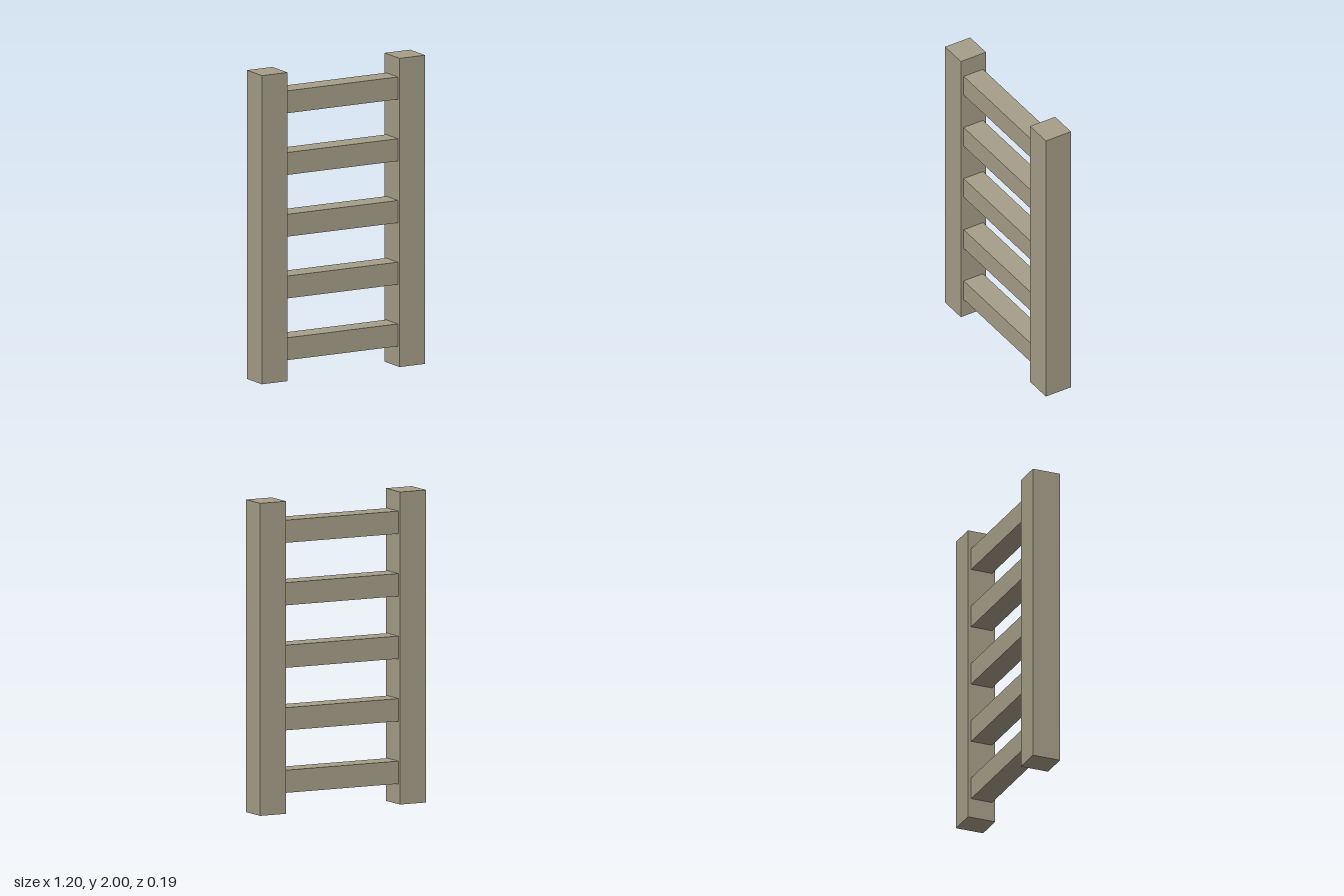
import * as THREE from 'three';

export function createModel() {
  const group = new THREE.Group();
  group.name = 'ladder';
  const wood = new THREE.MeshStandardMaterial({ color: 0xa69e88 });
  wood.name = 'weathered wood';

  function beam(name, w, h, d, x, y) {
    const mesh = new THREE.Mesh(new THREE.BoxGeometry(w, h, d), wood);
    mesh.name = name;
    mesh.position.set(x, y, 0);
    group.add(mesh);
  }

  // Upright side rails
  beam('leftRail', 0.188, 2, 0.188, 0.505, 1);
  beam('rightRail', 0.188, 2, 0.188, -0.505, 1);

  // Five evenly spaced rungs between the rails
  for (let i = 0; i < 5; i++) {
    beam(`rung${i + 1}`, 0.823, 0.145, 0.145, 0, 0.203 + i * 0.4);
  }

  return group;
}
